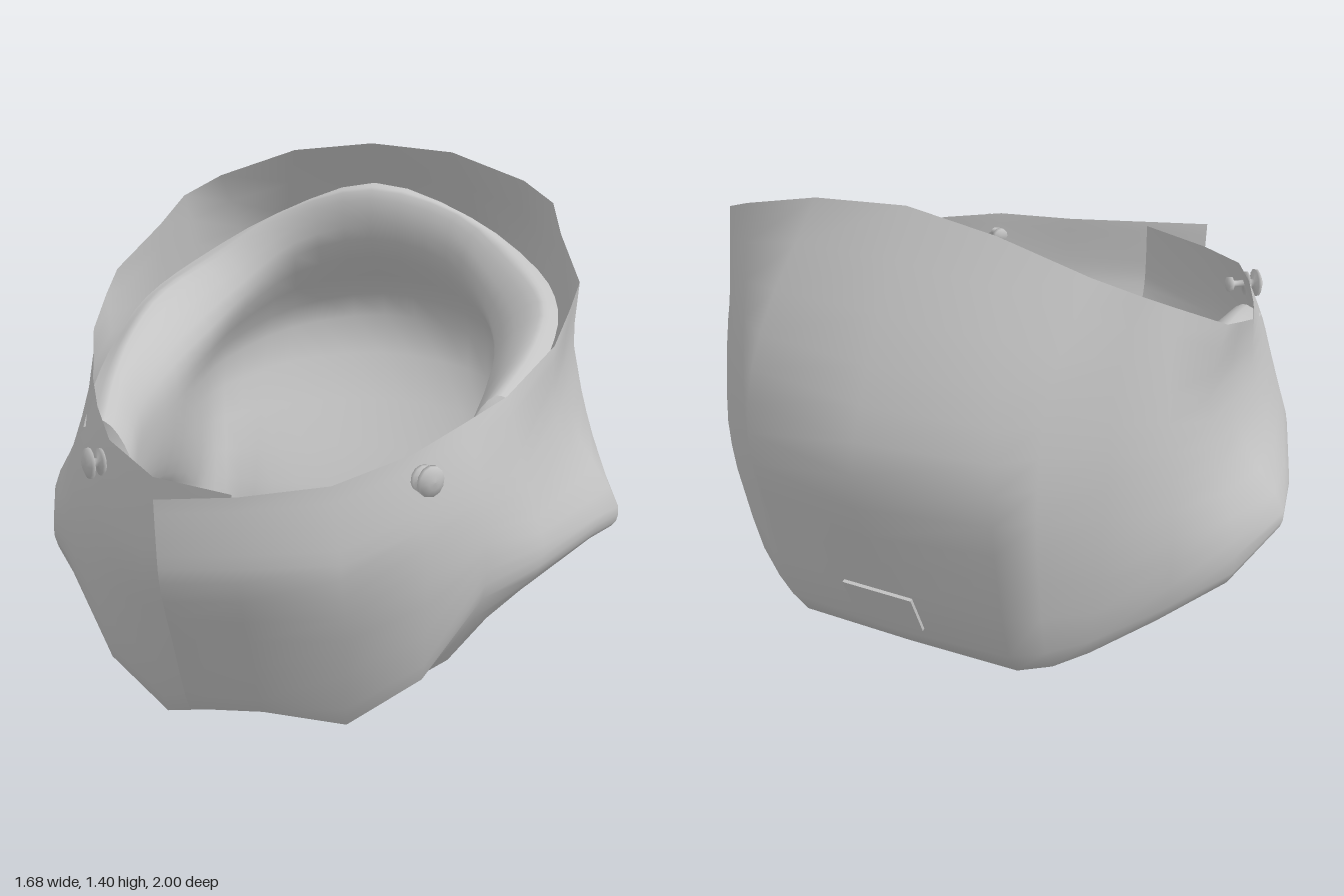
import * as THREE from 'three';

const V = (p) => new THREE.Vector3(p[0], p[1], p[2]);
const mirror = (station) => station.map(([x, y, z]) => [-x, y, z]);

// Sheet through stations that all hold the same number of points
function loft(stations, along, across) {
  const rows = stations[0].map((_, r) =>
    new THREE.CatmullRomCurve3(stations.map((s) => V(s[r]))).getPoints((stations.length - 1) * along));
  const n = rows[0].length, m = (rows.length - 1) * across + 1;
  const pos = [], idx = [];
  for (let i = 0; i < n; i++) {
    const curve = new THREE.CatmullRomCurve3(rows.map((r) => r[i]));
    curve.getPoints(m - 1).forEach((p) => pos.push(p.x, p.y, p.z));
  }
  for (let i = 0; i < n - 1; i++) {
    for (let j = 0; j < m - 1; j++) {
      const a = i * m + j, b = a + m;
      idx.push(a, a + 1, b, b, a + 1, b + 1);
    }
  }
  const g = new THREE.BufferGeometry();
  g.setAttribute('position', new THREE.Float32BufferAttribute(pos, 3));
  g.setIndex(idx);
  g.computeVertexNormals();
  return g;
}

export function createModel() {
  const group = new THREE.Group();
  const grey = new THREE.MeshStandardMaterial({ color: 0xc4c4c4, side: THREE.DoubleSide });
  grey.name = 'light grey';
  const add = (name, geometry) => {
    const mesh = new THREE.Mesh(geometry, grey);
    mesh.name = name;
    group.add(mesh);
    return mesh;
  };

  // Front closure: one profile, pushed out for the flap and in for the panel under it
  const closure = (x, push, flare) =>
    [[.64, .93], [.53, .93], [.42, .92], [.25, .84], [.02, .70], [.03, .69]]
      .map(([y, z]) => [x, y, z + push + flare * (y / .64) ** 2]);

  // Outer shell sections: rim, three body points, bottom crease, inward lip
  const side = [
    [[.23, .655, .82], [.25, .53, .83], [.26, .42, .83], [.26, .25, .78], [.24, 0, .69], [.24, .01, .68]],
    [[.40, .71, .66], [.42, .6, .67], [.44, .48, .67], [.44, .32, .66], [.42, .11, .61], [.41, .115, .60]],
    [[.50, .76, .47], [.54, .64, .49], [.56, .53, .51], [.57, .42, .52], [.56, .31, .52], [.46, .12, .46]],
  ];
  const back = [
    [[.58, .80, .28], [.62, .65, .31], [.66, .52, .32], [.69, .41, .32], [.67, .33, .34], [.52, .20, .31]],
    [[.67, .90, .02], [.67, .75, .03], [.72, .59, .03], [.80, .425, .02], [.78, .365, .03], [.56, .34, .05]],
    [[.69, .98, -.15], [.675, .81, -.15], [.725, .61, -.15], [.84, .42, -.14], [.82, .36, -.15], [.58, .36, -.15]],
    [[.70, 1.04, -.28], [.68, .85, -.34], [.72, .65, -.35], [.775, .44, -.35], [.76, .30, -.35], [.55, .28, -.35]],
    [[.62, 1.16, -.46], [.64, .95, -.52], [.66, .70, -.54], [.67, .45, -.53], [.62, .23, -.50], [.46, .20, -.45]],
    [[.58, 1.24, -.58], [.55, 1.0, -.66], [.55, .75, -.69], [.53, .45, -.69], [.48, .16, -.62], [.42, .18, -.445]],
    [[.48, 1.30, -.65], [.43, 1.04, -.78], [.42, .78, -.82], [.41, .48, -.79], [.40, .13, -.68], [.38, .18, -.44]],
    [[.25, 1.38, -.69], [.33, 1.06, -.86], [.345, .80, -.925], [.33, .50, -.865], [.32, .125, -.73], [.28, .18, -.435]],
  ];
  const spine = [[0, 1.405, -.68], [0, 1.07, -.90], [0, .81, -1], [0, .50, -.92], [0, .12, -.73], [0, .18, -.435]];
  const half = [...side, ...back];
  add('collarShell', loft([closure(-.17, .02, .05), closure(.02, 0, 0), ...half, spine,
    ...half.map(mirror).reverse(), closure(0, -.025, 0)], 1, 3));

  // Rolled padding: outer edge, crest, inner face, hollow, lower face, bottom lip
  const pad = [
    [[.60, .77, .22], [.54, .79, .22], [.47, .70, .22], [.46, .58, .22], [.48, .45, .22], [.54, .35, .22]],
    [[.64, .86, -.1], [.585, .885, -.1], [.47, .78, -.1], [.46, .64, -.1], [.50, .45, -.1], [.57, .37, -.1]],
    [[.63, .95, -.35], [.57, .97, -.36], [.44, .85, -.38], [.48, .68, -.42], [.49, .39, -.41], [.54, .29, -.36]],
    [[.54, 1.04, -.56], [.45, 1.06, -.57], [.37, .94, -.55], [.46, .72, -.63], [.43, .36, -.51], [.42, .19, -.445]],
    [[.31, 1.18, -.70], [.27, 1.19, -.67], [.24, 1.05, -.65], [.29, .80, -.81], [.28, .35, -.52], [.28, .185, -.433]],
  ];
  const padSpine = [[0, 1.28, -.72], [0, 1.26, -.67], [0, 1.11, -.67], [0, .84, -.89], [0, .35, -.535], [0, .185, -.433]];
  const padTip = pad[0].map(([x, y]) => [.04 - x, y - .08, .42]);
  add('neckPadding', loft([...pad, padSpine, ...pad.map(mirror).reverse(), padTip], 3, 4));

  // Small patch on the lower back
  const patch = add('backPatch', new THREE.BoxGeometry(.2, .15, .009));
  patch.position.set(0, .33, -.868);
  patch.rotation.x = -.42;

  // Flat fabric tabs and studs at both front corners
  const studProfile = [[0, -.05], [.022, -.05], [.022, -.035], [.01, -.03], [.01, 0], [.036, .004],
    [.036, .014], [.012, .018], [.012, .032], [.042, .036], [.04, .046], [.02, .055], [0, .057]]
    .map(([x, y]) => new THREE.Vector2(x, y));
  for (const s of [1, -1]) {
    const label = s > 0 ? 'left' : 'right';
    add(label + 'PaddingTab', loft([
      [[s * .54, .36, .20], [s * .46, .37, .23]],
      [[s * .53, .30, .31], [s * .37, .35, .32]],
      [[s * .50, .22, .44], [s * .42, .29, .43]],
      [[s * .45, .16, .56], [s * .41, .22, .56]],
    ], 1, 1));
    const stud = add(label + 'Stud', new THREE.LatheGeometry(studProfile, 12));
    stud.position.set(s * .42, .65, .65);
    stud.quaternion.setFromUnitVectors(new THREE.Vector3(0, 1, 0), new THREE.Vector3(s * .78, -.05, .62).normalize());
  }
  return group;
}
